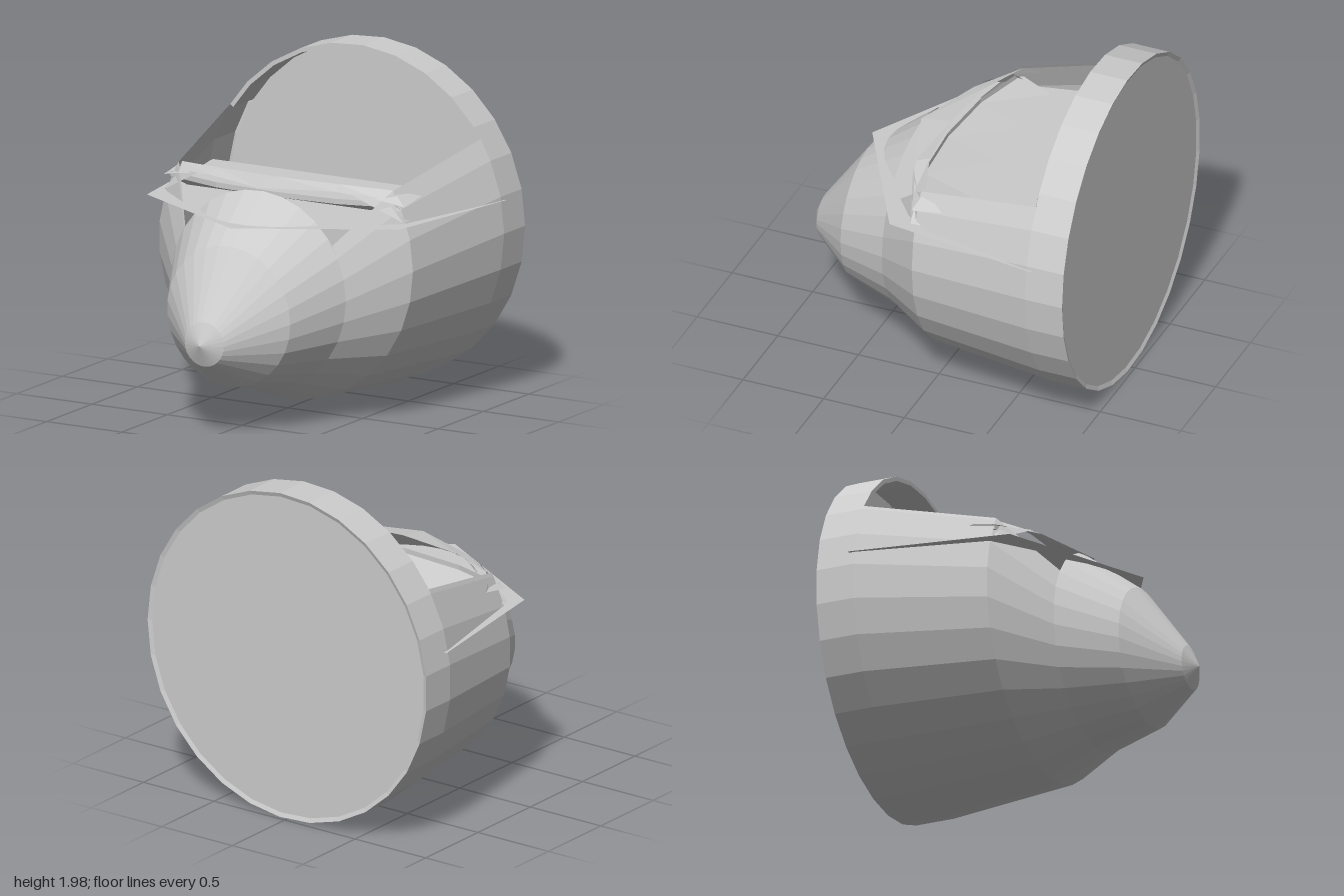
import * as THREE from 'three';

const material = new THREE.MeshStandardMaterial({ color: 0xcccccc, flatShading: true, side: THREE.DoubleSide });

// Skin a surface over rows of points, all rows having the same count
function loft(name, rows) {
  const pos = [];
  for (let i = 0; i < rows.length - 1; i++) {
    for (let j = 0; j < rows[i].length - 1; j++) {
      const a = rows[i][j], b = rows[i][j + 1], c = rows[i + 1][j], d = rows[i + 1][j + 1];
      pos.push(...a, ...b, ...c, ...b, ...d, ...c);
    }
  }
  const geo = new THREE.BufferGeometry();
  geo.setAttribute('position', new THREE.Float32BufferAttribute(pos, 3));
  geo.computeVertexNormals();
  const mesh = new THREE.Mesh(geo, material);
  mesh.name = name;
  return mesh;
}

// Angles from start to end, keeping to a regular 29-sided ring
const STEP = (Math.PI * 2) / 29;
function arcAngles(start, end) {
  const list = [start];
  for (let k = Math.ceil(start / STEP + 0.01); k * STEP < end - 0.01; k++) list.push(k * STEP);
  list.push(end);
  return list;
}

// One cross-section of the hull: position along z, centre height, radius
const section = ([z, cy, r], angles) => angles.map(a => [r * Math.cos(a), cy + r * Math.sin(a), z]);

// Mirror a half row (centre point first) to a full row running from -x to +x
const mirrorRow = half => [...half.slice(1).reverse().map(([x, y, z]) => [-x, y, z]), ...half];

export function createModel() {
  const group = new THREE.Group();
  group.name = 'cockpitSection';

  const back = [-0.975, 0.99, 0.99];
  const hoop = [-0.745, 0.99, 0.99];
  const waist = [0.02, 0.905, 0.845];
  const noseBase = [0.32, 0.76, 0.58];
  const full = arcAngles(0, Math.PI * 2);
  const cut = THREE.MathUtils.degToRad(32.7);
  const lower = arcAngles(Math.PI - cut, Math.PI * 2 + cut);
  const upper = arcAngles(cut, Math.PI - cut);
  const hull = (name, sections, angles) => group.add(loft(name, sections.map(s => section(s, angles))));

  // Hull: closed rear ring, open-topped cockpit tub, closed nose
  hull('rearRing', [back, hoop], full);
  hull('cockpitTub', [hoop, waist, noseBase], lower);
  hull('noseCone', [noseBase, [0.65, 0.67, 0.41], [0.92, 0.56, 0.13], [0.975, 0.56, 0.001]], full);

  // Wall thickness of the ring, seen above the cockpit and at the back
  hull('ringLip', [hoop, [-0.745, 0.99, 0.965]], upper);
  hull('ringLining', [[-0.745, 0.99, 0.965], [-0.965, 0.99, 0.965]], upper);
  hull('rearRim', [[-0.965, 0.99, 0.965], back], full);

  // Rear bulkhead
  const bulkhead = new THREE.Mesh(new THREE.CircleGeometry(0.97, 29), material);
  bulkhead.name = 'rearBulkhead';
  bulkhead.position.set(0, 0.99, -0.965);
  group.add(bulkhead);

  // Flat deck whose corners and point stick out of the hull
  const outline = [[-0.985, 0.78], [0.985, 0.78], [0.84, -0.16], [0, -0.63], [-0.84, -0.16]];
  const deckShape = new THREE.Shape(outline.map(([x, y]) => new THREE.Vector2(x, y)));
  const deck = new THREE.Mesh(new THREE.ShapeGeometry(deckShape).rotateX(-Math.PI / 2), material);
  deck.name = 'deck';
  deck.position.y = 1.18;
  group.add(deck);

  // Curved cowl over the instrument panel
  group.add(loft('instrumentCowl', [
    mirrorRow([[0, 1.355, 0.325], [0.42, 1.355, 0.18], [0.68, 1.31, 0.08], [0.8, 1.28, 0.04]]),
    mirrorRow([[0, 1.385, 0.14], [0.4, 1.38, 0.1], [0.7, 1.36, 0], [0.8, 1.31, -0.15]]),
  ]));

  // Sloping instrument panel with a narrow upright front edge
  const panelFront = y => mirrorRow([[0, y, 0.16], [0.4, y, 0.13], [0.76, y, 0.03]]);
  group.add(loft('instrumentPanel', [
    panelFront(1.3),
    panelFront(1.27),
    mirrorRow([[0, 1.185, -0.15], [0.4, 1.185, -0.15], [0.76, 1.185, -0.15]]),
  ]));

  // Pointed brackets joining the cowl to the deck on both sides
  for (const s of [-1, 1]) {
    group.add(loft(s > 0 ? 'leftBracket' : 'rightBracket', [
      [[s * 0.5, 1.35, 0.16], [s * 0.8, 1.19, 0.05]],
      [[s * 0.68, 1.32, 0.05], [s * 0.8, 1.19, -0.04]],
    ]));
  }
  return group;
}
